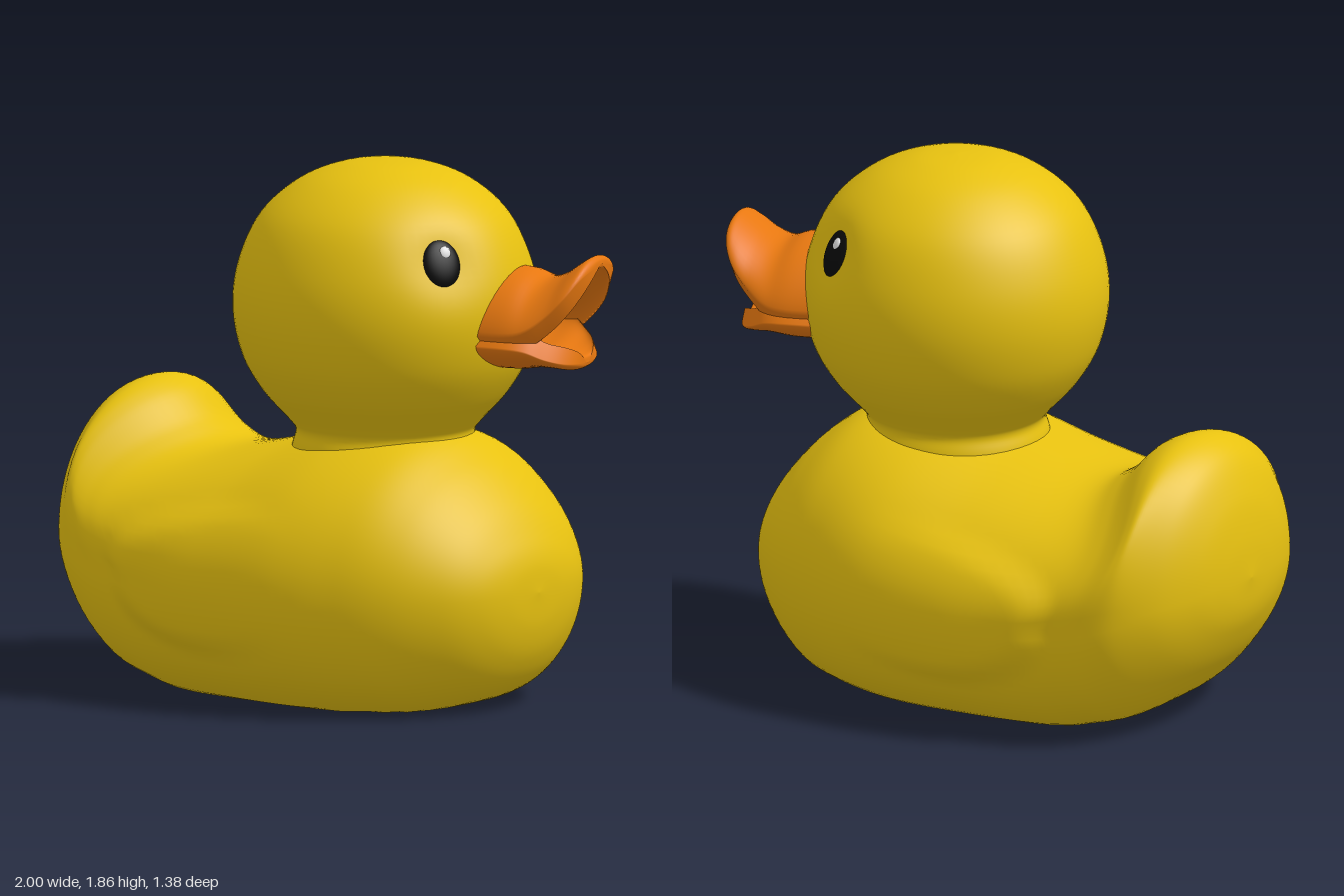
import * as THREE from 'three';
import { mergeVertices } from 'three/addons/utils/BufferGeometryUtils.js';

const { smoothstep } = THREE.MathUtils;

const paint = (name, color, side = THREE.FrontSide) => {
  const m = new THREE.MeshStandardMaterial({ color, side });
  m.name = name;
  return m;
};

function addMesh(parent, name, geometry, material) {
  const mesh = new THREE.Mesh(geometry, material);
  mesh.name = name;
  parent.add(mesh);
  return mesh;
}

// Smoothly interpolates rows of five numbers
function smoothStations(stations, count) {
  const a = new THREE.CatmullRomCurve3(stations.map(s => new THREE.Vector3(s[0], s[1], s[2])), false, 'catmullrom');
  const b = new THREE.CatmullRomCurve3(stations.map(s => new THREE.Vector3(s[0], s[3], s[4])), false, 'catmullrom');
  return Array.from({ length: count + 1 }, (_, i) => {
    const p = a.getPoint(i / count), q = b.getPoint(i / count);
    return [p.x, p.y, p.z, q.y, q.z];
  });
}

// Skins closed loops of points that follow one another along +x
function loft(rows) {
  const n = rows[0].length, index = [];
  for (let i = 0; i < rows.length - 1; i++) {
    for (let j = 0; j < n; j++) {
      const a = i * n + j, b = i * n + (j + 1) % n;
      index.push(a, a + n, b, b, a + n, b + n);
    }
  }
  const g = new THREE.BufferGeometry().setFromPoints(rows.flat());
  g.setIndex(index);
  g.computeVertexNormals();
  return g;
}

// Body: oval sections with a flat base, an upturned tail and raised wings
function bodyGeometry() {
  // x, bottom, top, half width, height of widest point
  const stations = [
    [-1.0, 0.55, 0.55, 0, 0.55],
    [-0.985, 0.43, 0.7, 0.16, 0.55],
    [-0.95, 0.34, 0.84, 0.29, 0.54],
    [-0.88, 0.23, 0.965, 0.42, 0.52],
    [-0.77, 0.115, 1.02, 0.52, 0.49],
    [-0.66, 0.04, 0.985, 0.56, 0.46],
    [-0.54, 0.0, 0.875, 0.585, 0.44],
    [-0.4, -0.03, 0.822, 0.61, 0.43],
    [-0.12, -0.04, 0.872, 0.655, 0.42],
    [0.2, -0.04, 0.945, 0.675, 0.42],
    [0.45, -0.02, 0.945, 0.605, 0.42],
    [0.62, 0.02, 0.85, 0.52, 0.42],
    [0.75, 0.085, 0.725, 0.405, 0.42],
    [0.825, 0.18, 0.615, 0.29, 0.42],
    [0.863, 0.29, 0.525, 0.16, 0.42],
    [0.875, 0.42, 0.42, 0, 0.42],
  ];
  const sides = 80;
  return loft(smoothStations(stations, 120).map(([x, low, high, half, mid]) => {
    const tailBend = smoothstep(x, -0.88, -0.6) * (1 - smoothstep(x, -0.55, -0.1));
    const wingHeight = 0.04 * (1 - smoothstep(x, -0.25, 0.3));
    const base = smoothstep(x, -1, -0.6) * (1 - smoothstep(x, 0.5, 0.87));
    return Array.from({ length: sides }, (_, j) => {
      const t = j / sides * Math.PI * 2, c = Math.cos(t), s = Math.sin(t);
      const y = Math.max(0, mid + s * (s > 0 ? high - mid : mid - low));
      let z = Math.max(half, 0) * Math.sign(c) * Math.pow(Math.abs(c), s < 0 ? 1 - 0.42 * base : 1);
      const bend = tailBend * z * z * Math.max(s, 0);
      const wing = 1 - ((x + 0.02) / 0.53) ** 2 - ((y - 0.455 - 0.08 * x) / 0.27) ** 2;
      z += Math.sign(c) * wingHeight * smoothstep(wing, 0, 0.45);
      return new THREE.Vector3(x - bend, y, z);
    });
  }));
}

const EYE_ANGLE = 0.75, EYE_HEIGHT = 1.56;

// Head and neck: one turned profile, slightly narrow, with shallow eye sockets
function headGeometry() {
  const profile = [
    [0.335, 0.8], [0.32, 0.875], [0.308, 0.925], [0.335, 0.965], [0.425, 1.065], [0.495, 1.19],
    [0.526, 1.35], [0.505, 1.51], [0.43, 1.67], [0.3, 1.785], [0.15, 1.845], [0, 1.86],
  ].map(p => new THREE.Vector2(...p));
  const points = new THREE.SplineCurve(profile).getPoints(66);
  points.forEach(p => { p.x = Math.max(0, p.x); });
  let g = new THREE.LatheGeometry(points, 80, -Math.PI / 2);
  g.deleteAttribute('uv');
  g.deleteAttribute('normal');
  g = mergeVertices(g, 1e-4);
  const pos = g.attributes.position, v = new THREE.Vector3();
  for (let i = 0; i < pos.count; i++) {
    v.fromBufferAttribute(pos, i);
    for (const side of [-1, 1]) {
      const socket = new THREE.Vector3(0.475 * Math.cos(EYE_ANGLE), EYE_HEIGHT, side * 0.475 * Math.sin(EYE_ANGLE));
      const k = 1 - 0.06 * Math.exp(-v.distanceToSquared(socket) / 0.014);
      v.x *= k;
      v.z *= k;
    }
    pos.setXYZ(i, v.x, v.y, v.z * 0.98);
  }
  g.computeVertexNormals();
  return g;
}

// Bill half: a curved plate; dir is 1 for the arched upper, -1 for the scooped lower
function billGeometry(stations, dir) {
  const half = 24;
  return loft(smoothStations(stations, 36).map(([x, width, thick, edge, crown]) => {
    const w = Math.max(width, 0.001), t = Math.max(thick, 0);
    const point = (k, inner) => {
      const a = (k / half - 0.5) * Math.PI;
      const y = edge + (crown - edge) * Math.pow(Math.max(0, Math.cos(a)), 1.25);
      return new THREE.Vector3(x, y - inner * dir * t, -dir * Math.sin(a) * Math.max(w - inner * t * 0.8, 0.001));
    };
    const loop = [];
    for (let k = 0; k <= half; k++) loop.push(point(k, 0));
    for (let k = half; k >= 0; k--) loop.push(point(k, 1));
    return loop;
  }));
}

export function createModel() {
  const yellow = paint('yellow', 0xe8c210);
  const orange = paint('orange', 0xe87810, THREE.DoubleSide);
  const black = paint('black', 0x0a0a0a);
  const white = paint('white', 0xf4f4f4);

  const duck = new THREE.Group();
  duck.name = 'bathDuck';
  addMesh(duck, 'body', bodyGeometry(), yellow);

  // Head turned a little to its right
  const head = new THREE.Group();
  head.name = 'head';
  head.position.x = 0.21;
  head.rotation.y = 0.27;
  duck.add(head);
  addMesh(head, 'headAndNeck', headGeometry(), yellow);

  // Bill rows: distance, half width, thickness, edge height, crown height
  addMesh(head, 'upperBill', billGeometry([
    [0.4, 0.26, 0.055, 1.31, 1.52],
    [0.53, 0.272, 0.055, 1.31, 1.515],
    [0.61, 0.262, 0.055, 1.325, 1.49],
    [0.68, 0.235, 0.055, 1.375, 1.51],
    [0.74, 0.21, 0.055, 1.44, 1.55],
    [0.775, 0.165, 0.05, 1.495, 1.57],
    [0.793, 0.1, 0.03, 1.525, 1.56],
    [0.798, 0.01, 0, 1.54, 1.545],
  ], 1), orange);
  addMesh(head, 'lowerBill', billGeometry([
    [0.4, 0.26, 0.055, 1.275, 1.17],
    [0.53, 0.272, 0.055, 1.275, 1.17],
    [0.61, 0.255, 0.055, 1.265, 1.18],
    [0.67, 0.215, 0.05, 1.235, 1.18],
    [0.715, 0.16, 0.05, 1.215, 1.175],
    [0.742, 0.09, 0.035, 1.205, 1.185],
    [0.748, 0.01, 0, 1.2, 1.2],
  ], -1), orange);

  const ball = new THREE.SphereGeometry(1, 32, 20);
  const mouth = addMesh(head, 'mouthLining', ball, orange);
  mouth.position.set(0.46, 1.33, 0);
  mouth.scale.set(0.105, 0.145, 0.25);

  // Eyes: dark ovals with a pale upper rim and a glint
  for (const side of [-1, 1]) {
    const turn = new THREE.Group();
    turn.name = side > 0 ? 'rightEye' : 'leftEye';
    turn.rotation.y = -side * EYE_ANGLE;
    head.add(turn);
    const eye = new THREE.Group();
    eye.name = 'eye';
    eye.position.set(0.45, EYE_HEIGHT, 0);
    eye.rotation.z = 0.38;
    turn.add(eye);
    const blob = (name, material, p, s) => {
      const m = addMesh(eye, name, ball, material);
      m.position.set(...p);
      m.scale.set(...s);
    };
    blob('eyeRim', white, [-0.002, 0.008, 0], [0.022, 0.088, 0.07]);
    blob('pupil', black, [0, 0, 0], [0.028, 0.087, 0.071]);
    blob('glint', white, [0.022, 0.034, -0.012], [0.009, 0.022, 0.02]);
  }
  return duck;
}
